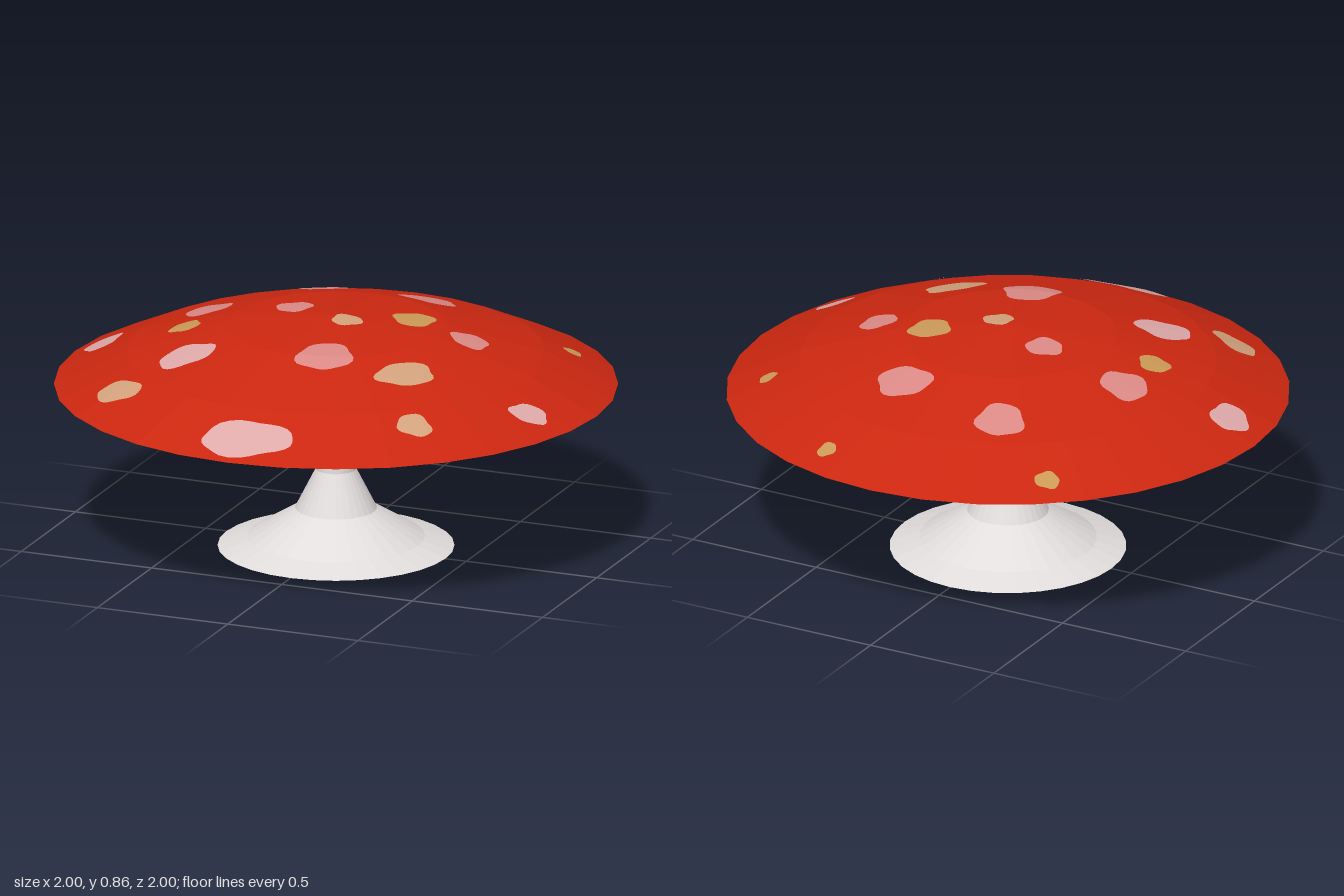
import * as THREE from 'three';

const SIDES = 32;
const CAP = [[1, 0.6], [0.74, 0.72], [0.385, 0.82], [0, 0.855]];

function material(name, color, flat = true) {
  const m = new THREE.MeshStandardMaterial({ color, flatShading: flat });
  m.name = name;
  return m;
}

function lathe(points) {
  return new THREE.LatheGeometry(points.map(([r, y]) => new THREE.Vector2(r, y)), SIDES);
}

// Height of the faceted cap above a ground point
function capHeight(x, z) {
  const step = (Math.PI * 2) / SIDES;
  const a = Math.atan2(x, z) + Math.PI * 2;
  const r = Math.hypot(x, z) * Math.cos((a % step) - step / 2) / Math.cos(step / 2);
  for (let i = 0; i < CAP.length - 1; i++) {
    const [r0, y0] = CAP[i], [r1, y1] = CAP[i + 1];
    if (r >= r1) return y0 + (y1 - y0) * (r0 - r) / (r0 - r1);
  }
  return CAP[CAP.length - 1][1];
}

// Thin irregular patch draped over the cap
function spotGeometry(cx, cz, rx, rz, tilt, seed) {
  const rings = 6, n = 28, pos = [], index = [];
  const put = (x, z) => pos.push(x, capHeight(x, z) + 0.004, z);
  put(cx, cz);
  for (let k = 1; k <= rings; k++) {
    for (let j = 0; j < n; j++) {
      const a = (j / n) * Math.PI * 2;
      const wobble = 0.97 + 0.07 * Math.sin(3 * a + seed * 2.1) + 0.05 * Math.sin(5 * a + seed * 3.7);
      const u = Math.cos(a) * rx * wobble * k / rings;
      const v = Math.sin(a) * rz * wobble * k / rings;
      put(cx + u * Math.cos(tilt) - v * Math.sin(tilt), cz + u * Math.sin(tilt) + v * Math.cos(tilt));
      const j2 = (j + 1) % n, o = 1 + (k - 1) * n, p = o - n;
      if (k === 1) index.push(0, o + j2, o + j);
      else index.push(p + j, o + j2, o + j, p + j, p + j2, o + j2);
    }
  }
  const g = new THREE.BufferGeometry();
  g.setAttribute('position', new THREE.Float32BufferAttribute(pos, 3));
  g.setIndex(index);
  g.computeVertexNormals();
  return g;
}

// Each spot: x, z, half width, half depth, tilt
const PINK_SPOTS = [
  [-0.87, 0.055, 0.066, 0.086, -0.1], [-0.41, 0.395, 0.105, 0.085, -0.7],
  [0.02, 0.88, 0.172, 0.09, -0.12], [0.84, 0.24, 0.072, 0.055, -0.8],
];
const ROSE_SPOTS = [
  [-0.275, -0.55, 0.09, 0.088, 0], [0.155, -0.48, 0.107, 0.086, 0.1],
  [-0.535, -0.11, 0.086, 0.088, 0], [-0.19, -0.075, 0.068, 0.068, 0],
  [0.48, -0.08, 0.07, 0.068, 0.5], [0.105, 0.355, 0.1, 0.105, 0.5],
];
const TAN_SPOTS = [
  [0.055, 0.03, 0.057, 0.054, 0], [0.405, 0.335, 0.113, 0.073, -0.85],
  [0.55, 0.6, 0.064, 0.055, -0.3], [-0.585, 0.6, 0.095, 0.062, 0.35],
];
const GOLD_SPOTS = [
  [0.25, -0.12, 0.077, 0.08, 0], [-0.535, 0.105, 0.057, 0.06, 0],
  [-0.555, -0.71, 0.046, 0.038, -0.5], [0.255, -0.86, 0.035, 0.034, 0],
  [0.72, -0.455, 0.032, 0.034, 0],
];

export function createModel() {
  const model = new THREE.Group();
  model.name = 'mushroom';
  const add = (name, geometry, mat, parent = model) => {
    const mesh = new THREE.Mesh(geometry, mat);
    mesh.name = name;
    parent.add(mesh);
  };
  const under = material('dark underside', 0x4a4038);

  // Cap and its shallow hollow underside
  add('cap', lathe(CAP), material('red cap', 0xcc2710));
  add('capUnderside', lathe([[0, 0.655], [1, 0.6]]), under);

  // Stem flaring into a wide foot
  add('stem', lathe([[0.42, 0], [0.315, 0.035], [0.145, 0.14], [0.072, 0.285], [0.045, 0.66]]),
    material('pale stem', 0xe2dddd));
  add('footUnderside', lathe([[0, 0], [0.42, 0]]), under);

  // Spots
  const spots = new THREE.Group();
  spots.name = 'spots';
  model.add(spots);
  const sets = [
    ['pinkSpot', PINK_SPOTS, material('pale pink', 0xdfa9a9)],
    ['roseSpot', ROSE_SPOTS, material('rose', 0xdc8a86)],
    ['tanSpot', TAN_SPOTS, material('tan', 0xd3a27c)],
    ['goldSpot', GOLD_SPOTS, material('gold', 0xcb9a56)],
  ];
  for (const [name, list, mat] of sets) {
    list.forEach((s, i) => add(name + (i + 1), spotGeometry(...s, i + name.length), mat, spots));
  }
  return model;
}
